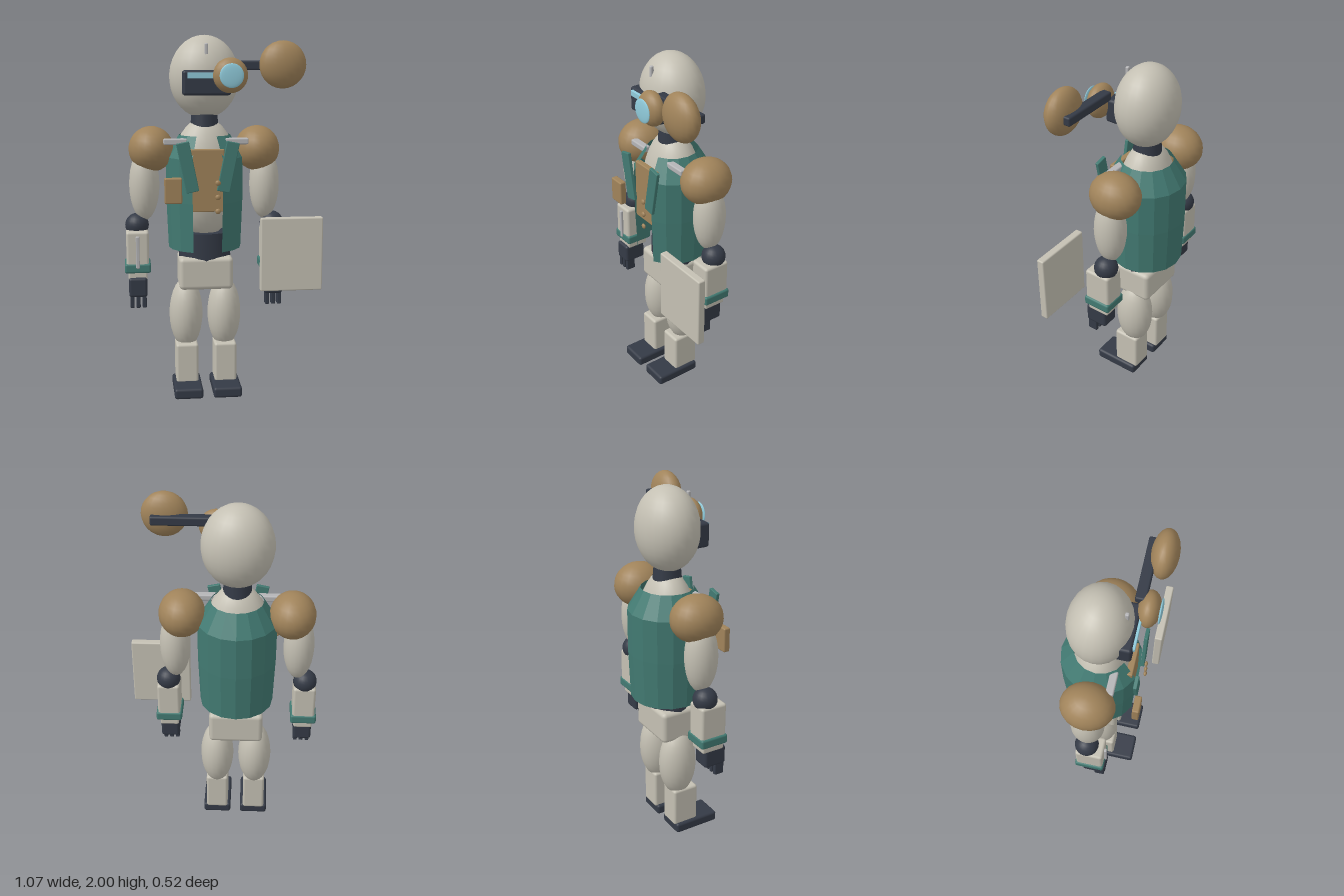
import * as THREE from 'three';
import { RoundedBoxGeometry } from 'three/addons/geometries/RoundedBoxGeometry.js';

const mat = (color, extra = {}) => {
  const m = new THREE.MeshStandardMaterial(extra);
  m.color.set(color);
  return m;
};
const SHELL = mat(0xc4c0b3), DARK = mat(0x343a46), TAN = mat(0xa0835a), GLASS = mat(0x90cbdb), METAL = mat(0xb4b4b6);
const TEAL = mat(0x427a72);
const VEST = mat(0x427a72, { side: THREE.DoubleSide, flatShading: true });

const CX = -0.084, CZ = -0.045; // body axis

export function createModel() {
  const model = new THREE.Group();
  model.name = 'robot';

  const add = (name, geometry, material, x, y, z, parent = model) => {
    const mesh = new THREE.Mesh(geometry, material);
    mesh.name = name;
    mesh.position.set(x, y, z);
    parent.add(mesh);
    return mesh;
  };
  // Ellipsoid from its three radii
  const ball = (name, material, [x, y, z], [rx, ry, rz], parent, seg = 20) =>
    add(name, new THREE.SphereGeometry(1, seg, Math.round(seg * 0.7)).scale(rx, ry, rz), material, x, y, z, parent);
  // Softly rounded box from centre and size
  const box = (name, material, [x, y, z], [w, h, d], parent, r = 0.015) =>
    add(name, new RoundedBoxGeometry(w, h, d, 2, Math.min(r, w / 3, h / 3, d / 3)), material, x, y, z, parent);

  // Head and neck
  ball('head', SHELL, [CX, 1.775, CZ], [0.192, 0.225, 0.165], model, 24);
  add('neck', new THREE.CylinderGeometry(0.07, 0.078, 0.09, 20), DARK, CX, 1.55, CZ);
  box('foreheadPin', METAL, [CX, 1.92, 0.083], [0.02, 0.068, 0.02]);

  // Visor, eyepiece and side disc on its boom
  box('visor', DARK, [CX, 1.747, 0.09], [0.26, 0.132, 0.085]);
  box('visorStrip', GLASS, [CX, 1.786, 0.134], [0.21, 0.032, 0.022], model, 0.004);
  ball('eyepiece', TAN, [0.036, 1.787, 0.168], [0.093, 0.093, 0.057]);
  ball('eyepieceLens', GLASS, [0.036, 1.787, 0.224], [0.064, 0.064, 0.009]);
  box('boom', DARK, [0.21, 1.838, 0.121], [0.34, 0.05, 0.056], model, 0.01);
  ball('sideDisc', TAN, [0.31, 1.843, 0.186], [0.125, 0.125, 0.07]);

  // Torso, waist and hips
  ball('torso', SHELL, [CX, 1.22, CZ], [0.19, 0.335, 0.15], model, 24);
  add('waist', new THREE.CylinderGeometry(0.14, 0.147, 0.16, 20).scale(1, 1, 0.76), DARK, CX, 0.835, CZ);
  box('hips', SHELL, [CX, 0.69, CZ], [0.302, 0.185, 0.225], model, 0.025);

  // Open-fronted vest
  const profile = [[0.203, 0.83], [0.214, 1.1], [0.215, 1.34], [0.142, 1.46]].map(p => new THREE.Vector2(...p));
  const gap = Math.PI / 8;
  add('vest', new THREE.LatheGeometry(profile, 14, gap, Math.PI * 2 - 2 * gap), VEST, CX, 0, CZ);

  // Chest panel with buttons, and pouch
  box('chestPanel', TAN, [CX, 1.225, 0.121], [0.184, 0.34, 0.034], model, 0.006);
  for (const y of [1.22, 1.142, 1.066]) ball('button', TAN, [-0.032, y, 0.186], [0.015, 0.015, 0.009], model, 12);
  box('pouch', TAN, [-0.272, 1.182, 0.187], [0.094, 0.138, 0.038], model, 0.008);

  for (const s of [-1, 1]) {
    const side = s > 0 ? 'left' : 'right';
    const X = o => CX + s * o;

    // Lapel and shoulder clip
    box(side + 'Lapel', TEAL, [X(0.109), 1.303, 0.166], [0.07, 0.272, 0.02], model, 0.004).rotation.z = -s * 0.2;
    box(side + 'ShoulderClip', METAL, [X(0.168), 1.43, 0.048], [0.13, 0.034, 0.042], model, 0.008);

    // Arm
    const arm = new THREE.Group();
    arm.name = side + 'Arm';
    model.add(arm);
    ball('shoulderPad', TAN, [X(0.295), 1.382, -0.05], [0.125, 0.126, 0.144], arm);
    ball('upperArm', SHELL, [X(0.336), 1.185, CZ], [0.084, 0.2, 0.09], arm);
    ball('elbow', DARK, [X(0.38), 0.958, CZ], [0.066, 0.066, 0.066], arm);
    box('forearm', SHELL, [X(0.38), 0.825, -0.024], [0.125, 0.22, 0.152], arm);
    box('wrist', SHELL, [X(0.38), 0.695, -0.02], [0.105, 0.07, 0.13], arm, 0.01);
    box('cuff', TEAL, [X(0.38), 0.728, -0.024], [0.145, 0.054, 0.162], arm, 0.012);
    box('palm', DARK, [X(0.38), 0.62, -0.003], [0.102, 0.11, 0.13], arm);
    for (const i of [-1, 0, 1])
      box('finger', DARK, [X(0.38) + i * 0.034, 0.54, 0.027], [0.023, 0.075, 0.055], arm, 0.005);

    // Leg
    const leg = new THREE.Group();
    leg.name = side + 'Leg';
    model.add(leg);
    ball('thigh', SHELL, [X(0.109), 0.44, -0.043], [0.095, 0.205, 0.108], leg);
    box('shin', SHELL, [X(0.109), 0.165, -0.021], [0.126, 0.23, 0.154], leg);
    box('foot', DARK, [X(0.109), 0.031, 0.046], [0.16, 0.06, 0.27], leg);
  }

  // Rod on the right forearm and plate before the left hand
  box('forearmRod', METAL, [-0.464, 0.82, 0.056], [0.02, 0.18, 0.02], model, 0.005);
  box('plate', SHELL, [0.364, 0.83, 0.215], [0.34, 0.404, 0.044], model, 0.008);

  return model;
}
